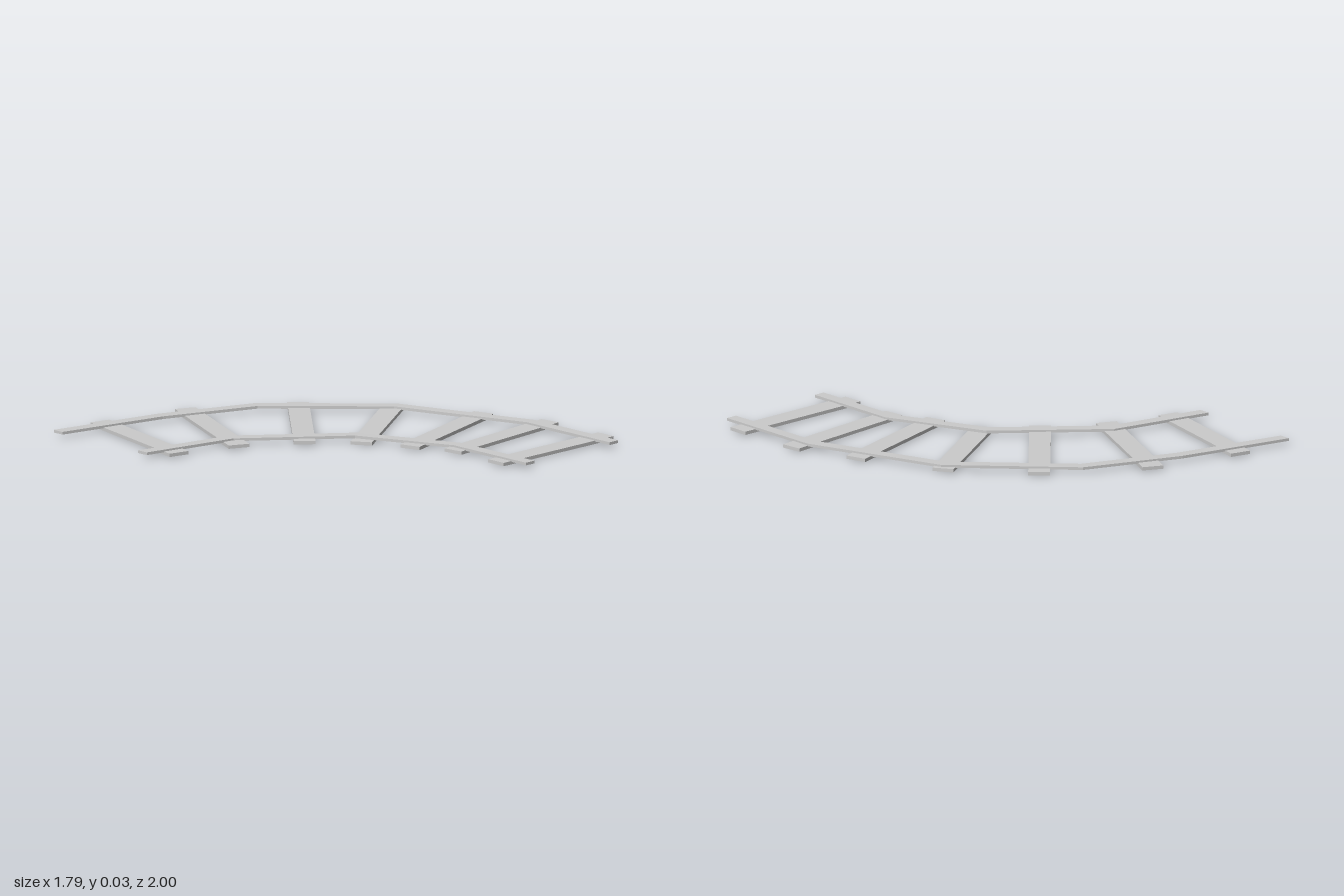
import * as THREE from 'three';

const material = new THREE.MeshStandardMaterial({ color: 0xcccccc, flatShading: true });

// Flat bar following a plan polyline of [x, z] points, with mitred corners.
function railGeometry(points, width, bottom, top) {
  const p = points.map(([x, z]) => new THREE.Vector2(x, -z));
  const normal = (a, b) => {
    const d = b.clone().sub(a).normalize();
    return new THREE.Vector2(-d.y, d.x);
  };
  const left = [], right = [];
  p.forEach((c, i) => {
    const n1 = normal(p[Math.max(i - 1, 0)], p[Math.max(i, 1)]);
    const n2 = i < p.length - 1 ? normal(c, p[i + 1]) : n1;
    let m = n1.clone().add(n2).normalize();
    // the far end is cut square to the x axis
    if (i === p.length - 1) m = new THREE.Vector2(0, Math.sign(n1.y));
    m.multiplyScalar(width / 2 / m.dot(n1));
    left.push(c.clone().add(m));
    right.push(c.clone().sub(m));
  });
  const shape = new THREE.Shape([...left, ...right.reverse()]);
  const geometry = new THREE.ExtrudeGeometry(shape, { depth: top - bottom, bevelEnabled: false });
  return geometry.rotateX(-Math.PI / 2).translate(0, bottom, 0);
}

// Plank between two end centres [x, y, z].
function plank(a, b, width, thickness) {
  const from = new THREE.Vector3(...a), to = new THREE.Vector3(...b);
  const dir = to.clone().sub(from);
  const mesh = new THREE.Mesh(new THREE.BoxGeometry(dir.length(), thickness, width), material);
  const x = dir.normalize();
  const z = new THREE.Vector3().crossVectors(x, new THREE.Vector3(0, 1, 0)).normalize();
  const y = new THREE.Vector3().crossVectors(z, x);
  mesh.quaternion.setFromRotationMatrix(new THREE.Matrix4().makeBasis(x, y, z));
  mesh.position.copy(from).add(to).multiplyScalar(0.5);
  return mesh;
}

export function createModel() {
  const model = new THREE.Group();
  model.name = 'curvedTrack';

  // Two rails bending round the curve
  const rails = {
    outerRail: [[0.79, 1], [0.79, 0.45], [0.564, -0.212], [0.111, -0.676], [-0.347, -0.849], [-0.897, -0.971]],
    innerRail: [[0.238, 1], [0.238, 0.52], [0.04, 0.053], [-0.41, -0.318], [-0.897, -0.416]],
  };
  for (const [name, points] of Object.entries(rails)) {
    const rail = new THREE.Mesh(railGeometry(points, 0.056, 0.018, 0.031), material);
    rail.name = name;
    model.add(rail);
  }

  // Sleepers fanned out below the rails; the middle one dips at its inner end
  const y = 0.014;
  const sleepers = [
    [[0.16, y, 0.853], [0.884, y, 0.853]],
    [[0.169, y, 0.56], [0.884, y, 0.485]],
    [[0.087, y, 0.361], [0.778, y, 0.154]],
    [[-0.005, 0.008, 0.133], [0.6, y, -0.252]],
    [[-0.198, y, -0.048], [0.31, y, -0.599]],
    [[-0.463, y, -0.215], [-0.145, y, -0.886]],
    [[-0.765, y, -0.308], [-0.6, y, -0.992]],
  ];
  sleepers.forEach(([a, b], i) => {
    const sleeper = plank(a, b, 0.102, 0.016);
    sleeper.name = `sleeper${i + 1}`;
    model.add(sleeper);
  });
  return model;
}
